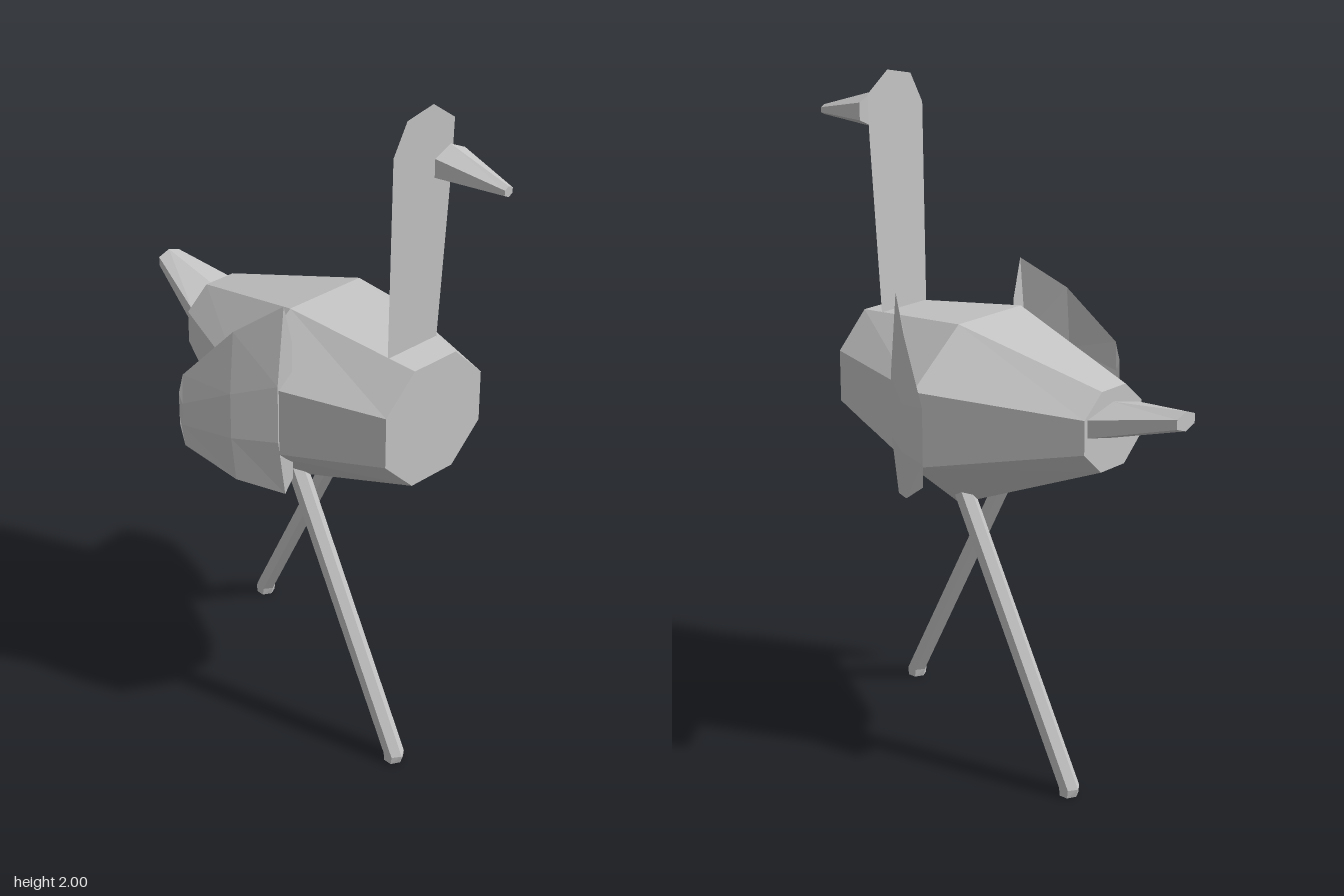
import * as THREE from 'three';

const grey = new THREE.MeshStandardMaterial({ color: 0xc4c4c4 });
grey.name = 'plain grey';
const greySheet = new THREE.MeshStandardMaterial({ color: 0xc4c4c4, side: THREE.DoubleSide });
greySheet.name = 'plain grey sheet';

// Flat-shaded mesh from rows of [x, y, z] points; closed rows form a capped solid
function loft(name, rows, closed) {
  const pos = [];
  const tri = (...p) => p.forEach((q) => pos.push(...q));
  const n = rows[0].length;
  for (let r = 0; r < rows.length - 1; r++) {
    const a = rows[r], b = rows[r + 1];
    for (let i = 0; i < (closed ? n : n - 1); i++) {
      const j = (i + 1) % n;
      tri(a[i], a[j], b[j]);
      tri(a[i], b[j], b[i]);
    }
  }
  if (closed) {
    const first = rows[0], last = rows[rows.length - 1];
    for (let i = 1; i < n - 1; i++) {
      tri(first[0], first[i + 1], first[i]);
      tri(last[0], last[i], last[i + 1]);
    }
  }
  const geo = new THREE.BufferGeometry();
  geo.setAttribute('position', new THREE.Float32BufferAttribute(pos, 3));
  geo.computeVertexNormals();
  const mesh = new THREE.Mesh(geo, closed ? grey : greySheet);
  mesh.name = name;
  return mesh;
}

// Octagon in the XY plane: outer half width w, flat half width f, heights bottom to top
const octagon = (z, w, f, y0, y1, y2, y3) => [
  [w, y1, z], [w, y2, z], [f, y3, z], [-f, y3, z],
  [-w, y2, z], [-w, y1, z], [-f, y0, z], [f, y0, z],
];

// Hexagon with a point at the top, facing along z
const hexXY = (x, y, z, rx, ry) => Array.from({ length: 6 }, (_, i) => {
  const a = Math.PI / 2 + i * Math.PI / 3;
  return [x + rx * Math.cos(a), y + ry * Math.sin(a), z];
});

// Level hexagon for the legs
const hexXZ = (x, y, z, rx, rz) => Array.from({ length: 6 }, (_, i) => {
  const a = Math.PI / 6 + i * Math.PI / 3;
  return [x + rx * Math.cos(a), y, z - rz * Math.sin(a)];
});

export function createModel() {
  const bird = new THREE.Group();
  bird.name = 'bird';

  // Body, from rump to chest
  bird.add(loft('body', [
    octagon(-0.415, 0.127, 0.052, 0.97, 1.04, 1.14, 1.205),
    octagon(0.04, 0.327, 0.135, 0.79, 0.95, 1.175, 1.33),
    octagon(0.47, 0.187, 0.08, 0.92, 1.025, 1.18, 1.285),
  ], true));

  // Tail
  bird.add(loft('tail', [
    hexXY(0.025, 1.172, -0.68, 0.046, 0.028),
    hexXY(0.002, 1.112, -0.412, 0.13, 0.053),
  ], true));

  // Beak
  bird.add(loft('beak', [
    hexXY(0.01, 1.873, 0.487, 0.064, 0.052),
    hexXY(0.02, 1.852, 0.68, 0.017, 0.015),
  ], true));

  // Neck and head, one thin upright sheet
  const outline = [
    [-0.096, 1.285], [0.094, 1.285], [0.118, 1.82], [0.119, 1.94],
    [0.035, 2.0], [-0.06, 1.98], [-0.106, 1.89],
  ];
  const neckGeo = new THREE.ShapeGeometry(
    new THREE.Shape(outline.map(([x, y]) => new THREE.Vector2(x, y))));
  const p = neckGeo.attributes.position;
  for (let i = 0; i < p.count; i++) p.setZ(i, 0.383 + (p.getY(i) - 1.285) * 0.026);
  neckGeo.computeVertexNormals();
  const neck = new THREE.Mesh(neckGeo, greySheet);
  neck.name = 'neck';
  bird.add(neck);

  // Wings: columns of [x, z, bottom, top, outward bulge]
  const columns = [
    [0.238, 0.157, 0.87, 1.31, 0],
    [0.268, 0.157, 0.83, 1.43, 0.025],
    [0.353, 0.045, 0.865, 1.34, 0.015],
    [0.425, -0.088, 0.95, 1.18, 0.005],
    [0.434, -0.097, 1.02, 1.12, 0],
  ];
  for (const s of [1, -1]) {
    const rows = columns.map(([x, z, y0, y1, b]) => [
      [s * x, y0, z],
      [s * (x + b), y0 + (y1 - y0) * 0.3, z],
      [s * (x + b), y0 + (y1 - y0) * 0.6, z],
      [s * x, y1, z],
    ]);
    bird.add(loft(s > 0 ? 'leftWing' : 'rightWing', rows, false));
  }

  // Striding legs, each with a short upright foot
  const leg = (name, x, zTop, zFoot) => bird.add(loft(name, [
    hexXZ(x, 0, zFoot, 0.03, 0.027),
    hexXZ(x, 0.025, zFoot, 0.03, 0.033),
    hexXZ(x, 0.845, zTop, 0.03, 0.033),
  ], true));
  leg('leftLeg', 0.147, 0.015, -0.392);
  leg('rightLeg', -0.15, 0.075, 0.493);

  return bird;
}
